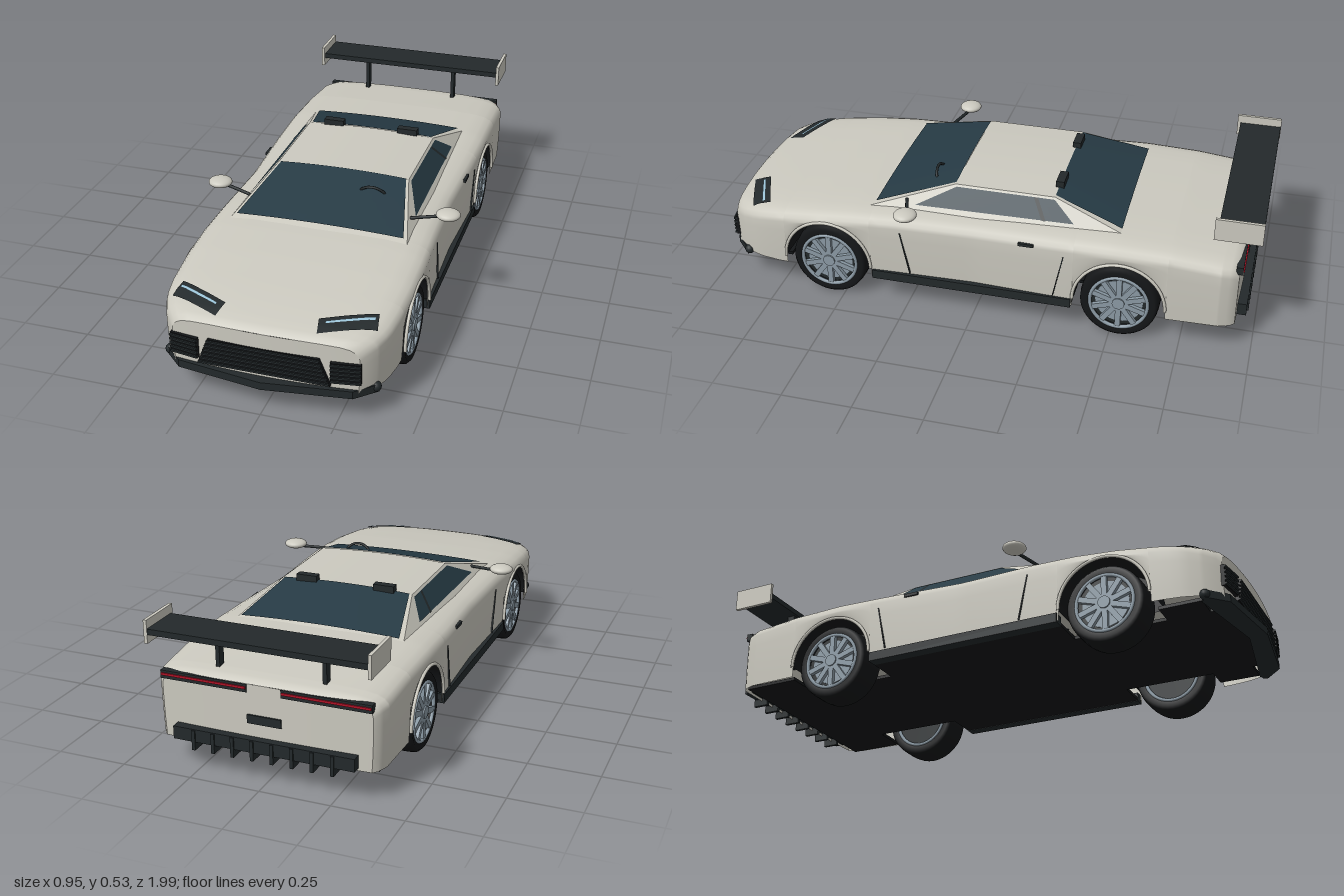
import * as THREE from 'three';

const mat = (color) => new THREE.MeshStandardMaterial({ color, side: THREE.DoubleSide });
const V = (p) => new THREE.Vector3(...p);

// Body plan: [z, half width, top height]
const KNOTS = [
  [-0.935, 0.37, 0.345], [-0.92, 0.385, 0.357], [-0.88, 0.4, 0.364], [-0.7, 0.405, 0.38],
  [-0.5, 0.408, 0.385], [-0.3, 0.405, 0.38], [0, 0.393, 0.373], [0.3, 0.402, 0.373],
  [0.45, 0.408, 0.366], [0.6, 0.408, 0.353], [0.75, 0.4, 0.335], [0.83, 0.388, 0.322],
  [0.89, 0.362, 0.309], [0.925, 0.335, 0.299], [0.94, 0.32, 0.287],
];
// Half section: [fraction of half width, drop from the top]
const SHOULDER = [[0, 0], [0.3, 0], [0.6, 0.002], [0.8, 0.006], [0.9, 0.013], [0.96, 0.024], [0.99, 0.037], [1, 0.052]];
const AXLES = [0.55, -0.53], ARCH = 0.165, AXLE_Y = 0.143, SILL = 0.107;

function plan(z) {
  let i = 0;
  while (i < KNOTS.length - 2 && z > KNOTS[i + 1][0]) i++;
  const [a, b] = [KNOTS[i], KNOTS[i + 1]];
  const t = THREE.MathUtils.clamp((z - a[0]) / (b[0] - a[0]), 0, 1);
  return { w: a[1] + (b[1] - a[1]) * t, h: a[2] + (b[2] - a[2]) * t };
}
// Nose and tail bow outwards towards the centre line
function bow(x, z, w) {
  const k = 1 - (x / w) ** 2;
  return z + 0.02 * k * THREE.MathUtils.smoothstep(z, 0.7, 0.94) - 0.008 * k * THREE.MathUtils.smoothstep(-z, 0.8, 0.93);
}
function halfSection(z, bottom) {
  const { w, h } = plan(z);
  const pts = SHOULDER.map(([f, d]) => [f * w, Math.max(h - d, bottom)]);
  const y0 = Math.max(h - 0.052, bottom);
  for (let k = 1; k <= 5; k++) pts.push([w * (1 - 0.015 * (k / 5) ** 2), y0 + (bottom - y0) * k / 5]);
  return pts;
}
function surfaceY(x, z) {
  const { w, h } = plan(z), f = Math.abs(x) / w;
  for (let i = 1; i < SHOULDER.length; i++) {
    const [a, b] = [SHOULDER[i - 1], SHOULDER[i]];
    if (f <= b[0]) return h - a[1] - (b[1] - a[1]) * (f - a[0]) / (b[0] - a[0]);
  }
  return h - 0.052;
}

// Smooth surface through equal rows of points
function grid(rows) {
  const n = rows[0].length, idx = [];
  for (let i = 0; i < rows.length - 1; i++)
    for (let j = 0; j < n - 1; j++) {
      const a = i * n + j, b = a + n;
      idx.push(a, b, a + 1, b, b + 1, a + 1);
    }
  const g = new THREE.BufferGeometry();
  g.setAttribute('position', new THREE.Float32BufferAttribute(rows.flat(2), 3));
  g.setIndex(idx);
  g.computeVertexNormals();
  return g;
}
// Four-cornered panel, a-b along the top and d-c along the bottom, raised in the middle
function panel(a, b, c, d, bulge = 0, fit = (p) => p) {
  const n = 8, rows = [];
  for (let i = 0; i <= n; i++) {
    const v = i / n, l = V(a).lerp(V(d), v), r = V(b).lerp(V(c), v);
    rows.push(Array.from({ length: n + 1 }, (_, j) => {
      const u = j / n, p = l.clone().lerp(r, u);
      p.y += bulge * 4 * u * (1 - u);
      return fit(p.toArray());
    }));
  }
  return grid(rows);
}

export function createModel() {
  const car = new THREE.Group();
  const paint = mat(0xcbc9bf), dark = mat(0x23292b), black = mat(0x141618), glass = mat(0x263a44);
  const metal = mat(0x8b9aa5), red = mat(0xb01226), lamp = mat(0x9cc4d8);
  const add = (name, geo, m, pos = [0, 0, 0], parent = car) => {
    const mesh = new THREE.Mesh(geo, m);
    mesh.name = name;
    mesh.position.set(...pos);
    parent.add(mesh);
    return mesh;
  };
  const box = (name, size, m, pos, parent) => add(name, new THREE.BoxGeometry(...size), m, pos, parent);

  // Body shell with wheel arches cut into its lower edge
  const stations = [];
  for (let i = 0; i <= 60; i++) {
    const z = -0.935 + 1.875 * i / 60;
    if (AXLES.every((c) => Math.abs(z - c) > ARCH + 0.005)) stations.push([z, SILL]);
  }
  for (const k of KNOTS.filter((q) => q[0] > 0.88 || q[0] < -0.87)) stations.push([k[0] * 0.9999, SILL]);
  for (const c of AXLES) {
    stations.push([c - ARCH - 0.0005, SILL], [c + ARCH + 0.0005, SILL]);
    for (let i = 0; i <= 24; i++) {
      const a = Math.PI * i / 24;
      stations.push([c - ARCH * Math.cos(a), AXLE_Y + ARCH * Math.sin(a)]);
    }
  }
  stations.sort((p, q) => p[0] - q[0]);
  add('bodyShell', grid(stations.map(([z, b]) => {
    const half = halfSection(z, b), w = plan(z).w;
    const full = [...half.slice(1).reverse().map(([x, y]) => [-x, y]), ...half];
    return full.map(([x, y]) => [x, y, bow(x, z, w)]);
  })), paint);
  for (const [name, z] of [['noseFace', 0.94], ['tailFace', -0.935]]) {
    const w = plan(z).w;
    add(name, grid(halfSection(z, SILL).slice(1).map(([x, y]) =>
      Array.from({ length: 13 }, (_, j) => {
        const px = x * (j / 6 - 1);
        return [px, y, bow(px, z, w)];
      }))), paint);
  }

  // Cabin: painted frame with glass laid just above it
  const sx = (y, out = 0) => 0.328 - 0.078 * (y - 0.36) / 0.092 + out;
  const side = (s, pts, out) => panel(...pts.map(([y, z]) => [s * sx(y, out), y, z]));
  const T = 0.452, xt = sx(T), xb = sx(0.36);
  add('roof', panel([-xt, T, -0.265], [xt, T, -0.265], [xt, T, 0.1], [-xt, T, 0.1], 0.009), paint);
  add('windscreenFrame', panel([-xt, T, 0.1], [xt, T, 0.1], [xb, 0.36, 0.41], [-xb, 0.36, 0.41], 0.006), paint);
  add('rearWindowFrame', panel([-xt, T, -0.265], [xt, T, -0.265], [xb, 0.36, -0.58], [-xb, 0.36, -0.58], 0.006), paint);
  add('windscreen', panel([-0.24, 0.455, 0.1], [0.24, 0.455, 0.1], [0.308, 0.374, 0.385], [-0.308, 0.374, 0.385], 0.008), glass);
  add('rearWindow', panel([-0.24, 0.455, -0.265], [0.24, 0.455, -0.265], [0.295, 0.389, -0.515], [-0.295, 0.389, -0.515], 0.008), glass);
  const wheelRing = add('steeringWheel', new THREE.TorusGeometry(0.055, 0.005, 8, 24), dark, [0.14, 0.402, 0.18]);
  wheelRing.rotation.x = 0.35;

  // Floor in four plates that leave the wheels free
  for (const [w, z0, z1] of [[0.5, -0.91, 0.93], [0.78, -0.36, 0.38], [0.76, -0.91, -0.7], [0.68, 0.72, 0.87]])
    box('floor', [w, 0.012, z1 - z0], black, [0, 0.108, (z0 + z1) / 2]);

  // Front splitter, grille and slats
  const edge = [[0.37, 0.89], [0.3, 0.955], [0, 0.995], [-0.3, 0.955], [-0.37, 0.89], [-0.34, 0.87], [0, 0.93], [0.34, 0.87]];
  const splitter = new THREE.ExtrudeGeometry(new THREE.Shape(edge.map((p) => new THREE.Vector2(...p))),
    { depth: 0.028, bevelEnabled: false });
  add('splitter', splitter.rotateX(Math.PI / 2), dark, [0, 0.125, 0]);
  const grille = [[-0.19, 0.232], [0.19, 0.232], [0.227, 0.135], [-0.227, 0.135]];
  add('grille', new THREE.ExtrudeGeometry(new THREE.Shape(grille.map((p) => new THREE.Vector2(...p))),
    { depth: 0.02, bevelEnabled: false }), black, [0, 0, 0.943]);
  for (let i = 0; i < 6; i++) box('grilleSlat', [0.385 + 0.0125 * i, 0.007, 0.012], dark, [0, 0.225 - 0.0165 * i, 0.963]);

  // Rear bumper details
  box('diffuser', [0.64, 0.045, 0.05], dark, [0, 0.14, -0.945]);
  for (let i = 0; i < 8; i++) box('diffuserFin', [0.012, 0.07, 0.06], dark, [-0.245 + 0.07 * i, 0.125, -0.945]);
  box('rearPlate', [0.12, 0.03, 0.01], dark, [0, 0.225, -0.944]);

  // Rear wing
  box('wingBlade', [0.76, 0.02, 0.15], dark, [0, 0.495, -0.923]);

  // Tyre section and wheel parts shared by all wheels
  const tyre = new THREE.LatheGeometry([[0.1, -0.058], [0.128, -0.064], [0.138, -0.054], [0.141, -0.03], [0.141, 0.03],
    [0.138, 0.054], [0.128, 0.064], [0.1, 0.058]].map((p) => new THREE.Vector2(...p)), 40).rotateZ(Math.PI / 2);
  const disc = (r, len) => new THREE.CylinderGeometry(r, r, len, 32).rotateZ(Math.PI / 2);

  for (const s of [-1, 1]) {
    const tag = s > 0 ? 'left' : 'right';
    // Cabin side and its glass
    add(tag + 'CabinSide', side(s, [[T, 0.1], [T, -0.265], [0.36, -0.58], [0.36, 0.41]], 0), paint);
    add(tag + 'SideWindow', side(s, [[0.446, 0.095], [0.446, -0.265], [0.387, -0.345], [0.381, 0.235]], 0.003), glass);
    add(tag + 'WindowPost', side(s, [[0.446, -0.19], [0.446, -0.205], [0.385, -0.245], [0.385, -0.23]], 0.005), dark);

    // Headlamp draped over the bonnet, with a light strip
    const lay = (up) => ([x, , z]) => [x, surfaceY(x, z) + up, z];
    const at = (x, z) => [s * x, 0, z];
    add(tag + 'Headlamp', panel(at(0.34, 0.79), at(0.16, 0.865), at(0.172, 0.925), at(0.352, 0.855), 0, lay(0.006)), dark);
    add(tag + 'LightStrip', panel(at(0.335, 0.812), at(0.185, 0.874), at(0.187, 0.884), at(0.337, 0.824), 0, lay(0.01)), lamp);

    // Front corner intake
    const intake = new THREE.Group();
    intake.name = tag + 'Intake';
    intake.position.set(s * 0.275, 0.188, 0.944);
    intake.rotation.y = s * 0.15;
    car.add(intake);
    box('intakePanel', [0.1, 0.076, 0.024], black, [0, 0, 0], intake);
    for (let i = 0; i < 5; i++) box('intakeSlat', [0.1, 0.007, 0.012], dark, [0, 0.031 - 0.0155 * i, 0.012], intake);
    add(tag + 'SplitterEnd', new THREE.SphereGeometry(0.018, 16, 10), dark, [s * 0.358, 0.113, 0.886]);

    // Mirror on its stalk
    const stalk = new THREE.LineCurve3(V([s * 0.3, 0.392, 0.27]), V([s * 0.41, 0.4, 0.235]));
    add(tag + 'MirrorStalk', new THREE.TubeGeometry(stalk, 1, 0.006, 8), dark);
    add(tag + 'Mirror', new THREE.SphereGeometry(1, 24, 16), paint, [s * 0.43, 0.408, 0.235]).scale.set(0.044, 0.018, 0.042);

    // Sill, door seams and handle
    box(tag + 'Sill', [0.04, 0.034, 0.74], dark, [s * 0.388, 0.118, 0.01]);
    for (const [z0, z1] of [[0.27, 0.235], [-0.33, -0.295]]) {
      const seam = box(tag + 'DoorSeam', [0.006, 0.17, 0.004], dark, [s * plan(z0).w, 0.225, (z0 + z1) / 2]);
      seam.rotation.x = Math.atan2(z0 - z1, 0.17);
    }
    box(tag + 'DoorHandle', [0.012, 0.011, 0.055], dark, [s * 0.4, 0.335, -0.195]);

    // Roof scoop, tail lamp and wing mounts
    box(tag + 'RoofScoop', [0.078, 0.03, 0.03], dark, [s * 0.148, 0.464, -0.268]);
    box(tag + 'TailLampHousing', [0.31, 0.028, 0.024], dark, [s * 0.215, 0.33, -0.934]);
    box(tag + 'TailLamp', [0.305, 0.008, 0.028], red, [s * 0.215, 0.332, -0.936]);
    box(tag + 'WingStrut', [0.014, 0.14, 0.03], dark, [s * 0.188, 0.42, -0.875]);
    box(tag + 'WingEndPlate', [0.012, 0.08, 0.163], paint, [s * 0.383, 0.495, -0.918]);

    // Wheels with arch liners and lips
    for (const z of AXLES) {
      const label = tag + (z > 0 ? 'Front' : 'Rear');
      const liner = new THREE.CylinderGeometry(ARCH, ARCH, 0.155, 28, 1, true, 0, Math.PI).rotateZ(Math.PI / 2);
      add(label + 'ArchLiner', liner, black, [s * 0.322, AXLE_Y, z]);
      add(label + 'ArchWall', new THREE.CircleGeometry(ARCH, 28, 0, Math.PI).rotateY(Math.PI / 2), black, [s * 0.246, AXLE_Y, z]);
      add(label + 'ArchLip', new THREE.TorusGeometry(ARCH, 0.006, 8, 28, Math.PI).rotateY(Math.PI / 2), paint,
        [s * (plan(z).w - 0.001), AXLE_Y, z]);

      const wheel = new THREE.Group();
      wheel.name = label + 'Wheel';
      wheel.position.set(s * 0.333, 0.142, z);
      car.add(wheel);
      add('tyre', tyre, black, [0, 0, 0], wheel);
      add('rimBack', disc(0.102, 0.09), dark, [0, 0, 0], wheel);
      for (const e of [-1, 1])
        add('rimEdge', new THREE.TorusGeometry(0.103, 0.007, 8, 40).rotateY(Math.PI / 2), metal, [e * 0.058, 0, 0], wheel);
      add('hub', disc(0.022, 0.03), metal, [s * 0.053, 0, 0], wheel);
      add('brakeDisc', disc(0.085, 0.012), metal, [s * 0.042, 0, 0], wheel);
      for (let i = 0; i < 10; i++) {
        const spoke = new THREE.BoxGeometry(0.014, 0.09, 0.02).translate(0, 0.058, 0);
        add('spoke', spoke, metal, [s * 0.056, 0, 0], wheel).rotation.x = i * Math.PI / 5;
      }
    }
  }
  return car;
}
